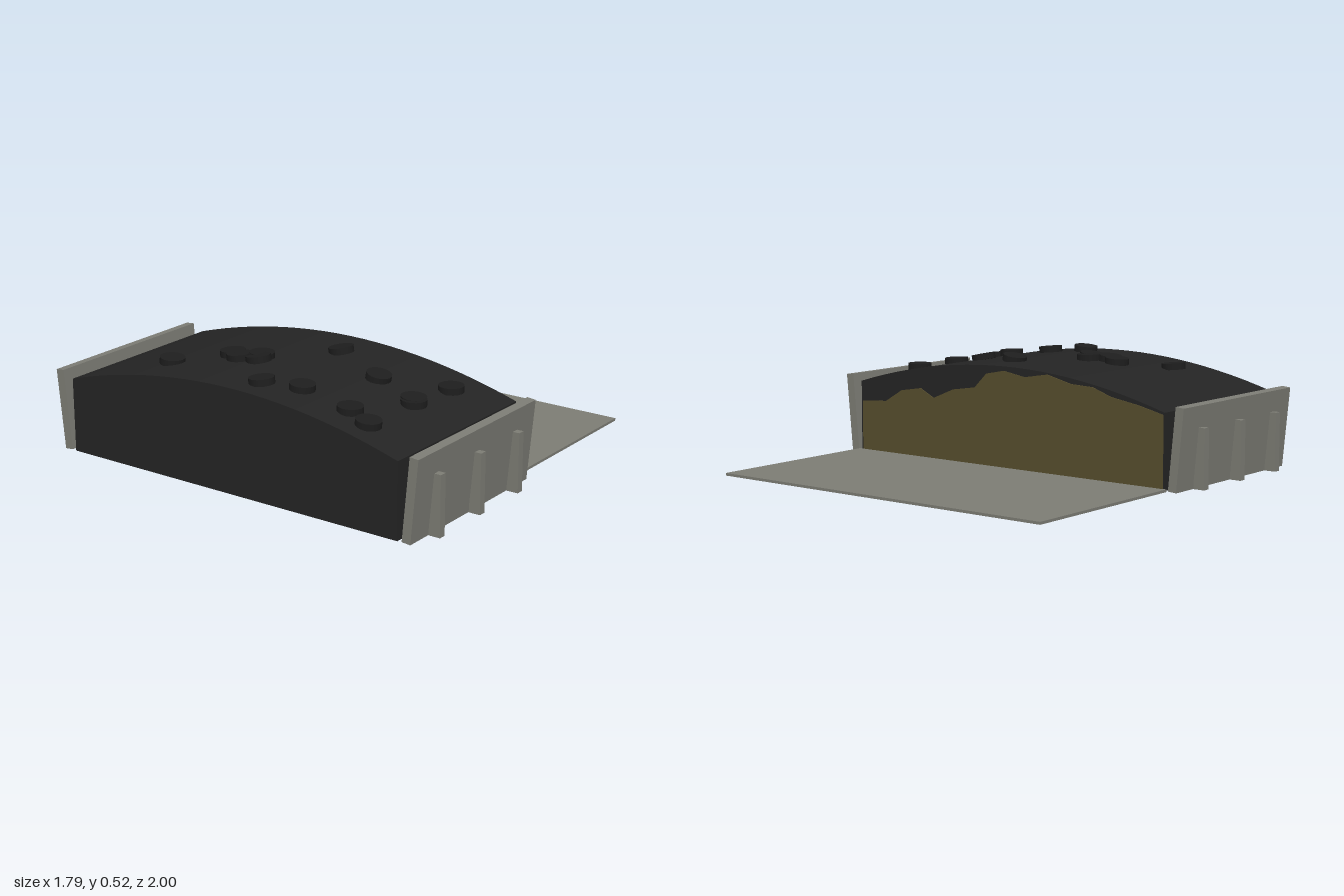
import * as THREE from 'three';

const mat = (name, color) => {
  const m = new THREE.MeshStandardMaterial({ color });
  m.name = name;
  return m;
};

export function createModel() {
  const concrete = mat('concrete grey', 0x7d7d75);
  const sheet = mat('cover sheet black', 0x242424);
  const rubber = mat('tyre black', 0x1e1e1e);
  const silage = mat('silage olive', 0x584f2e);

  const model = new THREE.Group();
  model.name = 'silageBunker';
  const add = (name, geometry, material, parent = model) => {
    const mesh = new THREE.Mesh(geometry, material);
    mesh.name = name;
    parent.add(mesh);
    return mesh;
  };

  // Height of the heap at a given z
  const heapTop = (z) => 0.48 - 0.135 * (z / 0.88) ** 2;

  // Extrudes a (z, y) outline along x, from x0 to x1
  const extrudeX = (points, x0, x1) => {
    const shape = new THREE.Shape(points.map(([z, y]) => new THREE.Vector2(-z, y)));
    return new THREE.ExtrudeGeometry(shape, { depth: x1 - x0, bevelEnabled: false })
      .rotateY(Math.PI / 2).translate(x0, 0, 0);
  };

  // Covered heap with an arched top
  const outline = [[0.88, 0.003], [-0.88, 0.003]];
  for (let i = 0; i <= 24; i++) {
    const z = -0.88 + (i / 24) * 1.76;
    outline.push([z, heapTop(z)]);
  }
  add('coveredHeap', extrudeX(outline, -0.895, 0), sheet);

  // Exposed silage with a ragged upper edge under the sheet
  const face = [[0.87, 0.013], [-0.875, 0.013], [-0.875, 0.335], [-0.75, 0.365], [-0.6, 0.39],
    [-0.5, 0.425], [-0.38, 0.43], [-0.25, 0.462], [-0.12, 0.44], [0, 0.46], [0.1, 0.44],
    [0.17, 0.37], [0.3, 0.35], [0.42, 0.3], [0.5, 0.34], [0.62, 0.32], [0.72, 0.26], [0.87, 0.25]];
  add('cutFace', extrudeX(face, 0, 0.004), silage);

  // Flat apron beside the heap
  add('apron', new THREE.BoxGeometry(0.895, 0.012, 1.786), concrete).position.set(0.4475, 0.007, 0);

  // Leaning end walls with three buttresses each
  for (const s of [1, -1]) {
    const end = new THREE.Group();
    end.name = s > 0 ? 'frontWall' : 'backWall';
    model.add(end);
    const wall = add('wallPanel', new THREE.BoxGeometry(0.895, 0.372, 0.042), concrete, end);
    wall.position.set(-0.4475, 0.188, s * 0.939);
    wall.rotation.x = s * 0.093;
    for (const x of [-0.75, -0.45, -0.15]) {
      add('buttress', new THREE.BoxGeometry(0.034, 0.272, 0.055), concrete, end)
        .position.set(x, 0.137, s * 0.9725);
    }
  }

  // Tyres weighing down the sheet: x, z, tilt
  const tyres = [
    [-0.68, -0.475, 0.08], [-0.505, -0.275, -0.08], [-0.54, -0.21, -0.1], [-0.525, -0.115, -0.15],
    [-0.48, -0.13, 0.02], [-0.76, 0.09, -0.1], [-0.215, 0.105, -0.18], [-0.7, 0.26, 0.08],
    [-0.36, 0.41, 0.22], [-0.725, 0.525, 0.05], [-0.765, 0.645, 0.12], [-0.445, 0.65, 0.02],
    [-0.425, 0.635, 0.08], [-0.19, 0.67, 0],
  ];
  const tyreShape = new THREE.CylinderGeometry(0.057, 0.057, 0.03, 16);
  for (const [x, z, tilt] of tyres) {
    const tyre = add('tyre', tyreShape, rubber);
    tyre.position.set(x, heapTop(z) + 0.013, z);
    tyre.rotation.x = tilt;
  }

  return model;
}
